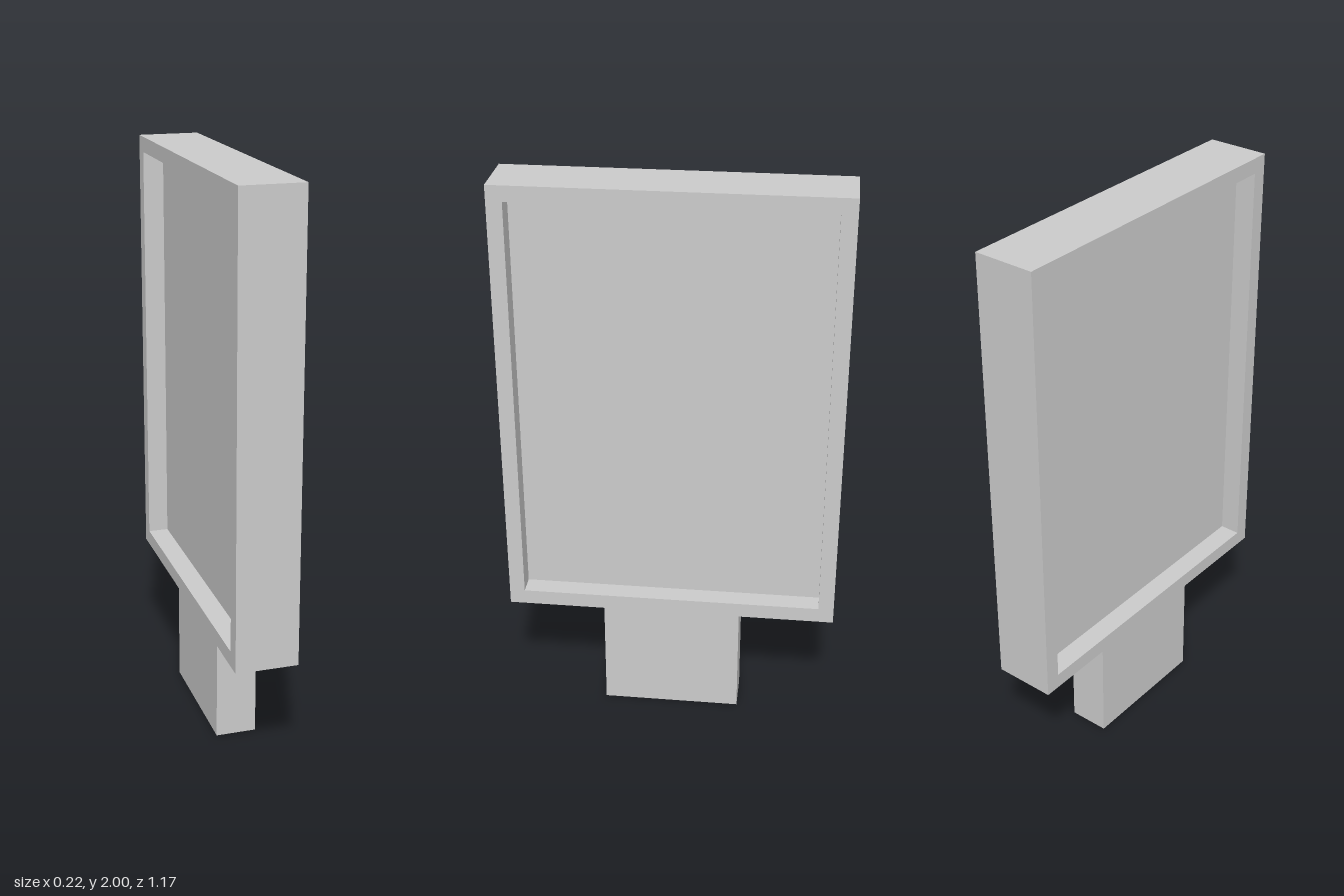
import * as THREE from 'three';

const BOTTOM = 0.424, TOP = 2;           // cabinet height range
const HALF_W = 0.585, HALF_D = 0.108;    // half width (z) and half thickness (x)
const RIM = 0.054, RECESS = 0.073;       // rim width and depth of the sunken panels

export function createModel() {
  const group = new THREE.Group();
  const material = new THREE.MeshStandardMaterial({ color: 0xcccccc, flatShading: true });
  const openMaterial = material.clone();
  openMaterial.side = THREE.DoubleSide;

  const add = (name, geometry, mat = material) => {
    const mesh = new THREE.Mesh(geometry, mat);
    mesh.name = name;
    group.add(mesh);
    return mesh;
  };
  const rectangle = (PathType, inset) => {
    const w = HALF_W - inset, b = BOTTOM + inset, t = TOP - inset;
    return new PathType([[-w, b], [w, b], [w, t], [-w, t]].map(p => new THREE.Vector2(...p)));
  };

  // Cabinet frame: a rectangular ring extruded through the thickness
  const outline = rectangle(THREE.Shape, 0);
  outline.holes.push(rectangle(THREE.Path, RIM));
  const frame = new THREE.ExtrudeGeometry(outline, { depth: HALF_D * 2, bevelEnabled: false });
  frame.translate(0, 0, -HALF_D).rotateY(Math.PI / 2);
  add('frame', frame);

  // Sunken display panel on each broad side
  for (const side of [1, -1]) {
    const panel = new THREE.PlaneGeometry((HALF_W - RIM) * 2, TOP - BOTTOM - RIM * 2);
    panel.rotateY(side * Math.PI / 2);
    panel.translate(side * (HALF_D - RECESS), (TOP + BOTTOM) / 2, 0);
    add(side > 0 ? 'leftPanel' : 'rightPanel', panel);
  }

  // Hollow rectangular post, open at the foot
  const post = new THREE.CylinderGeometry(Math.SQRT1_2, Math.SQRT1_2, BOTTOM, 4, 1, true);
  post.rotateY(Math.PI / 4).scale(0.143, 1, 0.492).translate(0.003, BOTTOM / 2, 0);
  add('post', post, openMaterial);

  return group;
}
